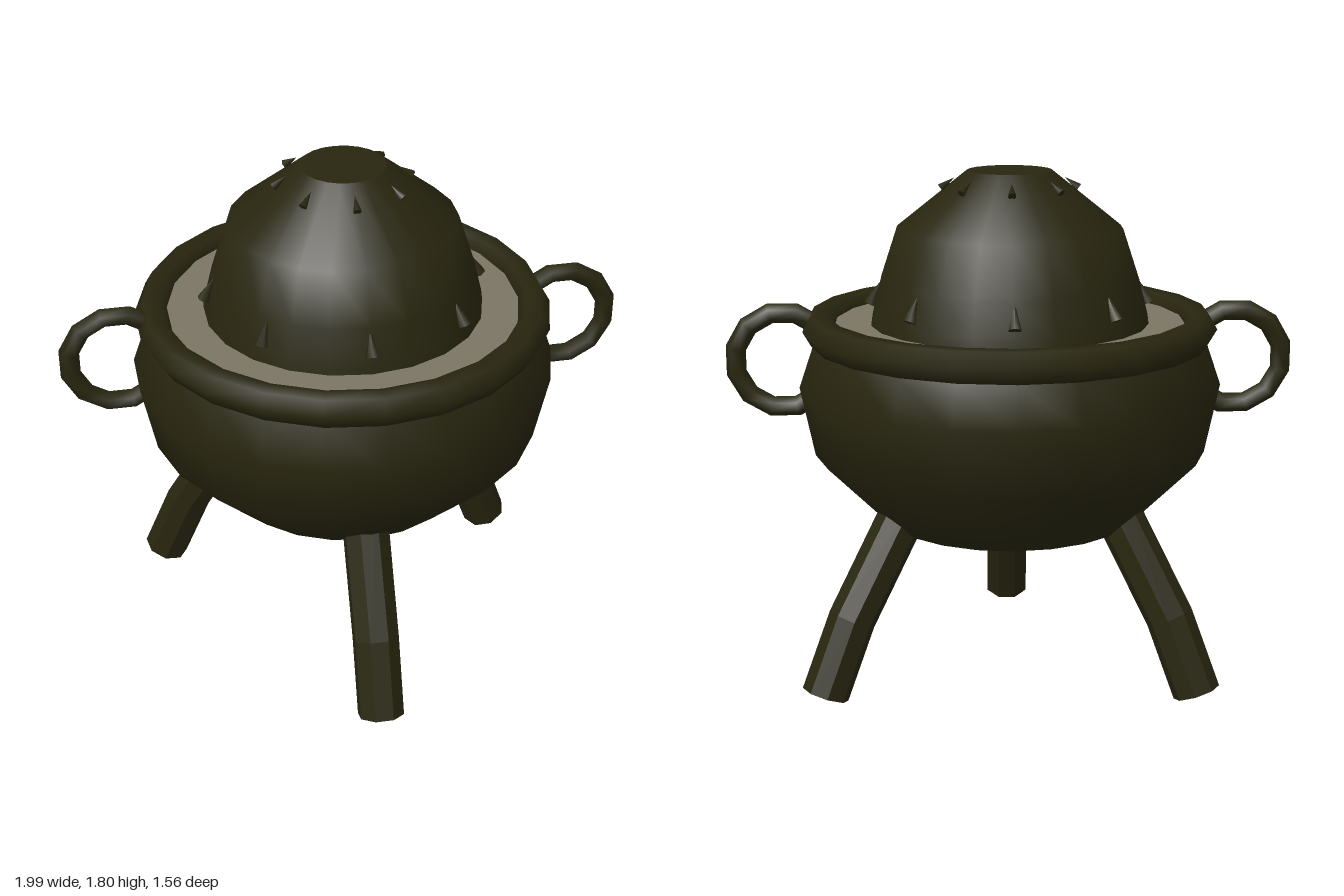
import * as THREE from 'three';

const SIDES = 22;

export function createModel() {
  const model = new THREE.Group();
  const iron = new THREE.MeshStandardMaterial({ name: 'dark iron', color: 0x28260f });
  const ironFlat = iron;
  const ash = new THREE.MeshStandardMaterial({ name: 'pale ash', color: 0x7a7563 });

  // Everything is arranged round the axis of the bowl
  const body = new THREE.Group();
  body.name = 'brazier';
  body.position.z = -0.04;
  model.add(body);

  const add = (name, geometry, material = iron) => {
    const mesh = new THREE.Mesh(geometry, material);
    mesh.name = name;
    body.add(mesh);
    return mesh;
  };
  const lathe = (points) =>
    new THREE.LatheGeometry(points.map(([r, y]) => new THREE.Vector2(r, y)), SIDES);
  const disc = (r, y, up) =>
    new THREE.CircleGeometry(r, SIDES)
      .rotateZ(Math.PI / 2)
      .rotateX(up ? -Math.PI / 2 : Math.PI / 2)
      .translate(0, y, 0);

  // Bowl with flat bottom and a six-sided rim
  add('bowl', lathe([[0.445, 0.573], [0.69, 0.82], [0.74, 1.065], [0.69, 1.21], [0.665, 1.26]]));
  add('bowlBottom', disc(0.445, 0.573, false));
  add('rim', new THREE.TorusGeometry(0.665, 0.06, 6, SIDES)
    .rotateZ(Math.PI / 2).rotateX(Math.PI / 2).translate(0, 1.26, 0));
  add('ashBed', disc(0.62, 1.275, true), ash);

  // Domed lid
  add('dome', lathe([[0.49, 1.25], [0.482, 1.31], [0.452, 1.43], [0.394, 1.605], [0.147, 1.803]]));
  add('domeTop', disc(0.147, 1.803, true));

  // Two rings of eight small studs; each cone runs from its base to its tip
  const stud = (name, angle, radius, base, tip) => {
    const at = ([r, y]) => new THREE.Vector3(r * Math.sin(angle), y, r * Math.cos(angle));
    const a = at(base), b = at(tip);
    const mesh = add(name, new THREE.ConeGeometry(radius, a.distanceTo(b), 6));
    mesh.position.copy(a).lerp(b, 0.5);
    mesh.quaternion.setFromUnitVectors(new THREE.Vector3(0, 1, 0), b.sub(a).normalize());
  };
  for (let i = 0; i < 8; i++) {
    const angle = (i * Math.PI) / 4;
    stud('lowerStud', angle, 0.024, [0.487, 1.34], [0.445, 1.425]);
    stud('upperStud', angle, 0.015, [0.238, 1.743], [0.19, 1.778]);
  }

  // Ring handles
  for (const side of [1, -1]) {
    const handle = add(side > 0 ? 'leftHandle' : 'rightHandle',
      new THREE.TorusGeometry(0.172, 0.036, 6, 12).rotateZ(Math.PI / 12));
    handle.position.set(side * 0.793, 1.141, 0);
  }

  // Bent leg: a cylinder whose three rows follow a path of [radius, height, tilt]
  const path = [[0.745, 0.03, 0.37], [0.637, 0.287, 0.46], [0.4, 0.69, 0.54]];
  const leg = new THREE.CylinderGeometry(0.083, 0.083, 2, 8, 2).rotateY(Math.PI / 8);
  const p = leg.attributes.position;
  for (let i = 0; i < p.count; i++) {
    const [r, y, tilt] = path[Math.round(p.getY(i)) + 1];
    const z = p.getZ(i);
    p.setXYZ(i, p.getX(i), y + z * Math.sin(tilt), r + z * Math.cos(tilt));
  }
  const legGeometry = leg.toNonIndexed();
  legGeometry.computeVertexNormals();
  for (let i = 0; i < 3; i++) {
    add('leg', legGeometry, ironFlat).rotation.y = -0.02 + (i * Math.PI * 2) / 3;
  }

  return model;
}
